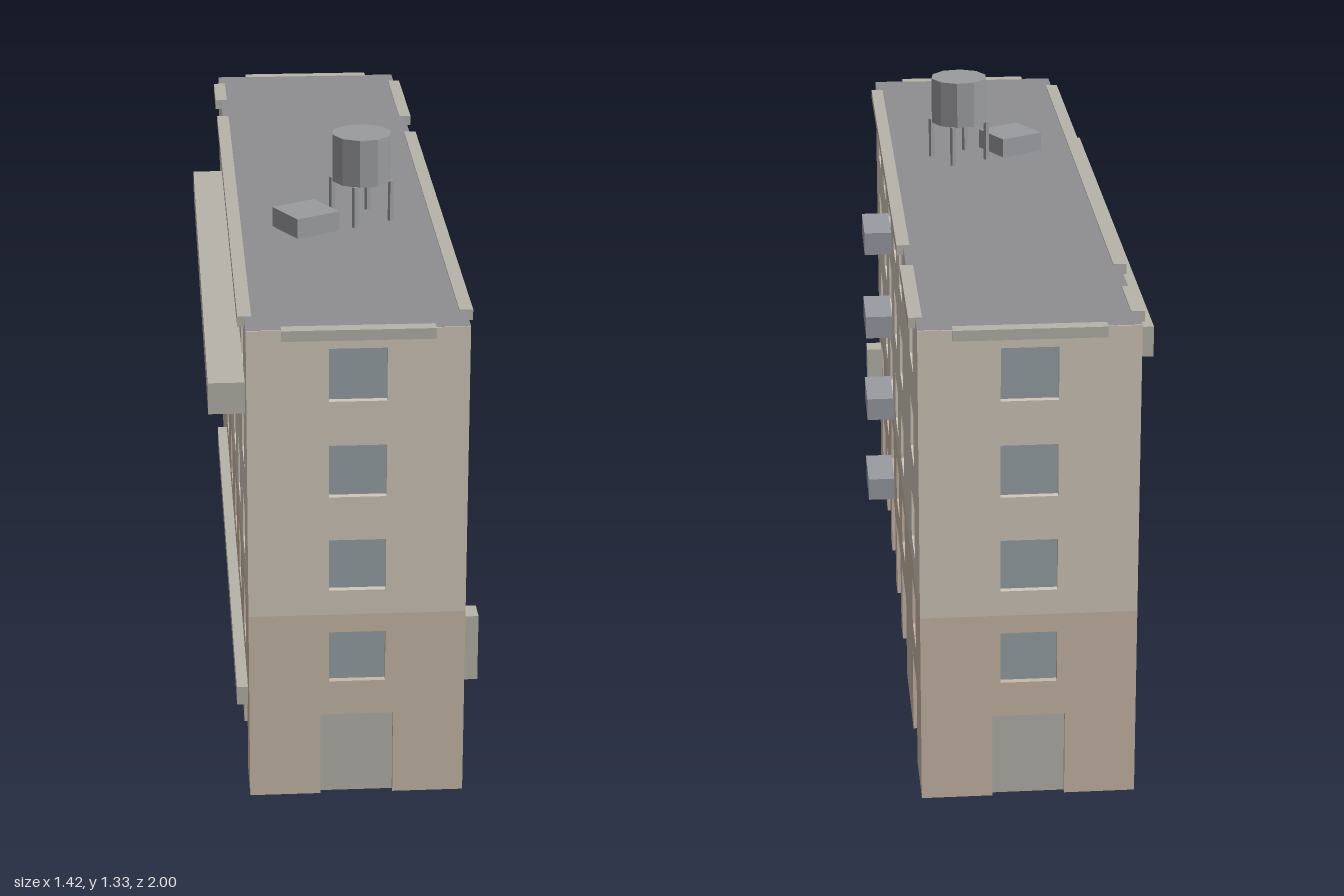
import * as THREE from 'three';

const L = 2.014, W = 0.479, H = 1.115, SPLIT = 0.446, RECESS = 0.015;
const FLOORS = [0.3425, 0.565, 0.788, 1.011];
const WIN_W = 0.125, WIN_H = 0.121, DOOR_W = 0.162, DOOR_H = 0.2;

const mat = (color) => new THREE.MeshStandardMaterial({ color, flatShading: true });
const M = {
  upper: mat(0xd0c8bb), lower: mat(0xc8b8a8), glass: mat(0x97a2a6), door: mat(0xb4b3ac),
  roof: mat(0x8e8f92), trim: mat(0xb6b4aa), balcony: mat(0x9a9ba2), tank: mat(0x9a9b9e),
};

function add(parent, name, geometry, material, x = 0, y = 0, z = 0) {
  const mesh = new THREE.Mesh(geometry, material);
  mesh.name = name;
  mesh.position.set(x, y, z);
  parent.add(mesh);
  return mesh;
}

// Box given by its min and max along each axis
function block(parent, name, material, [x0, x1], [y0, y1], [z0, z1]) {
  return add(parent, name, new THREE.BoxGeometry(x1 - x0, y1 - y0, z1 - z0), material,
    (x0 + x1) / 2, (y0 + y1) / 2, (z0 + z1) / 2);
}

function windowHole(x, y) {
  const p = new THREE.Path(), w = WIN_W / 2, h = WIN_H / 2;
  p.moveTo(x - w, y - h).lineTo(x - w, y + h).lineTo(x + w, y + h).lineTo(x + w, y - h).closePath();
  return p;
}

// One facade: outer face at z = 0, columns are { x, w, door }
function facade(name, width, columns) {
  const g = new THREE.Group();
  g.name = name;
  const half = width / 2;
  const cols = [...columns].sort((a, b) => a.x - b.x);

  // ground storey wall, notched for doors and shop fronts
  const low = new THREE.Shape();
  low.moveTo(-half, 0.001);
  for (const { x, w } of cols) {
    low.lineTo(x - w / 2, 0.001).lineTo(x - w / 2, DOOR_H).lineTo(x + w / 2, DOOR_H).lineTo(x + w / 2, 0.001);
  }
  low.lineTo(half, 0.001).lineTo(half, SPLIT).lineTo(-half, SPLIT).closePath();

  // upper wall
  const up = new THREE.Shape();
  up.moveTo(-half, SPLIT).lineTo(half, SPLIT).lineTo(half, H).lineTo(-half, H).closePath();

  for (const { x, w, door } of cols) {
    FLOORS.forEach((y) => {
      (y < SPLIT ? low : up).holes.push(windowHole(x, y));
      add(g, 'windowPane', new THREE.PlaneGeometry(WIN_W, WIN_H), M.glass, x, y, -RECESS);
    });
    add(g, door ? 'door' : 'shopWindow', new THREE.PlaneGeometry(w, DOOR_H),
      door ? M.door : M.glass, x, DOOR_H / 2, -RECESS);
  }
  const opts = { depth: RECESS, bevelEnabled: false };
  add(g, 'lowerWall', new THREE.ExtrudeGeometry(low, opts), M.lower, 0, 0, -RECESS);
  add(g, 'upperWall', new THREE.ExtrudeGeometry(up, opts), M.upper, 0, 0, -RECESS);
  return g;
}

function building() {
  const b = new THREE.Group();
  b.name = 'building';
  const z = W / 2, x = L / 2;

  // street side, six columns
  const front = facade('streetFacade', L, [-0.779, -0.511, -0.244, 0.024, 0.292, 0.755].map(
    (cx, i) => ({ x: cx, w: i % 5 ? 0.193 : DOOR_W, door: i % 5 === 0 })));
  front.position.z = z;

  // rear side, five columns
  const back = facade('rearFacade', L, [0, 1, 2, 3, 4].map(
    (i) => ({ x: -0.46 + i * 0.307, w: i ? 0.224 : DOOR_W, door: i === 0 })));
  back.position.z = -z;
  back.rotation.y = Math.PI;
  b.add(front, back);

  // narrow ends and their copings
  for (const s of [-1, 1]) {
    const end = facade('endFacade', W - 2 * RECESS, [{ x: 0, w: DOOR_W, door: true }]);
    end.position.x = s * x;
    end.rotation.y = s * Math.PI / 2;
    b.add(end);
    block(b, 'endCoping', M.trim, [s * x - 0.015, s * x + 0.015], [1.095, 1.119], [-0.165, 0.165]);
  }

  // roof and underside
  add(b, 'roof', new THREE.PlaneGeometry(L, W), M.roof, 0, H + 0.001).rotation.x = -Math.PI / 2;
  add(b, 'underside', new THREE.PlaneGeometry(L, W), M.roof).rotation.x = Math.PI / 2;

  // copings on the long sides
  for (const [side, x0, x1] of [[1, -0.912, 0.44], [1, 0.582, 0.933], [-1, -0.925, 0.614], [-1, 0.765, 0.93]]) {
    block(b, 'coping', M.trim, [x0, x1], [1.095, 1.119], [side * z - 0.015, side * z + 0.015]);
  }

  // balconies, wall box and rear ledges
  for (const y of FLOORS) block(b, 'balcony', M.balcony, [-0.322, -0.16], [y - 0.114, y - 0.057], [z, z + 0.067]);
  block(b, 'wallBox', M.trim, [-0.91, -0.855], [0.227, 0.385], [z, z + 0.041]);
  block(b, 'rearCanopy', M.trim, [-0.925, 0.614], [0.895, 0.967], [-z - 0.08, -z]);
  block(b, 'rearLedge', M.trim, [-0.925, 0.614], [0.188, 0.232], [-z - 0.025, -z]);
  return b;
}

export function createModel() {
  const model = new THREE.Group();
  model.name = 'apartmentBlock';

  const b = building();
  b.position.x = 0.015;
  b.rotation.y = 1.068;
  model.add(b);

  // rooftop hatch
  block(model, 'roofHatch', M.tank, [-0.265, -0.15], [H, 1.163], [0.197, 0.308]);

  // water tank on four legs
  const tank = new THREE.Group();
  tank.name = 'waterTank';
  tank.position.set(-0.057, 0, 0.258);
  add(tank, 'tankDrum', new THREE.CylinderGeometry(0.07, 0.07, 0.113, 10), M.tank, 0, 1.2695, 0);
  for (const sx of [-1, 1]) for (const sz of [-1, 1]) {
    add(tank, 'tankLeg', new THREE.BoxGeometry(0.01, 0.1, 0.01), M.tank, sx * 0.05, 1.164, sz * 0.05);
  }
  model.add(tank);
  return model;
}
